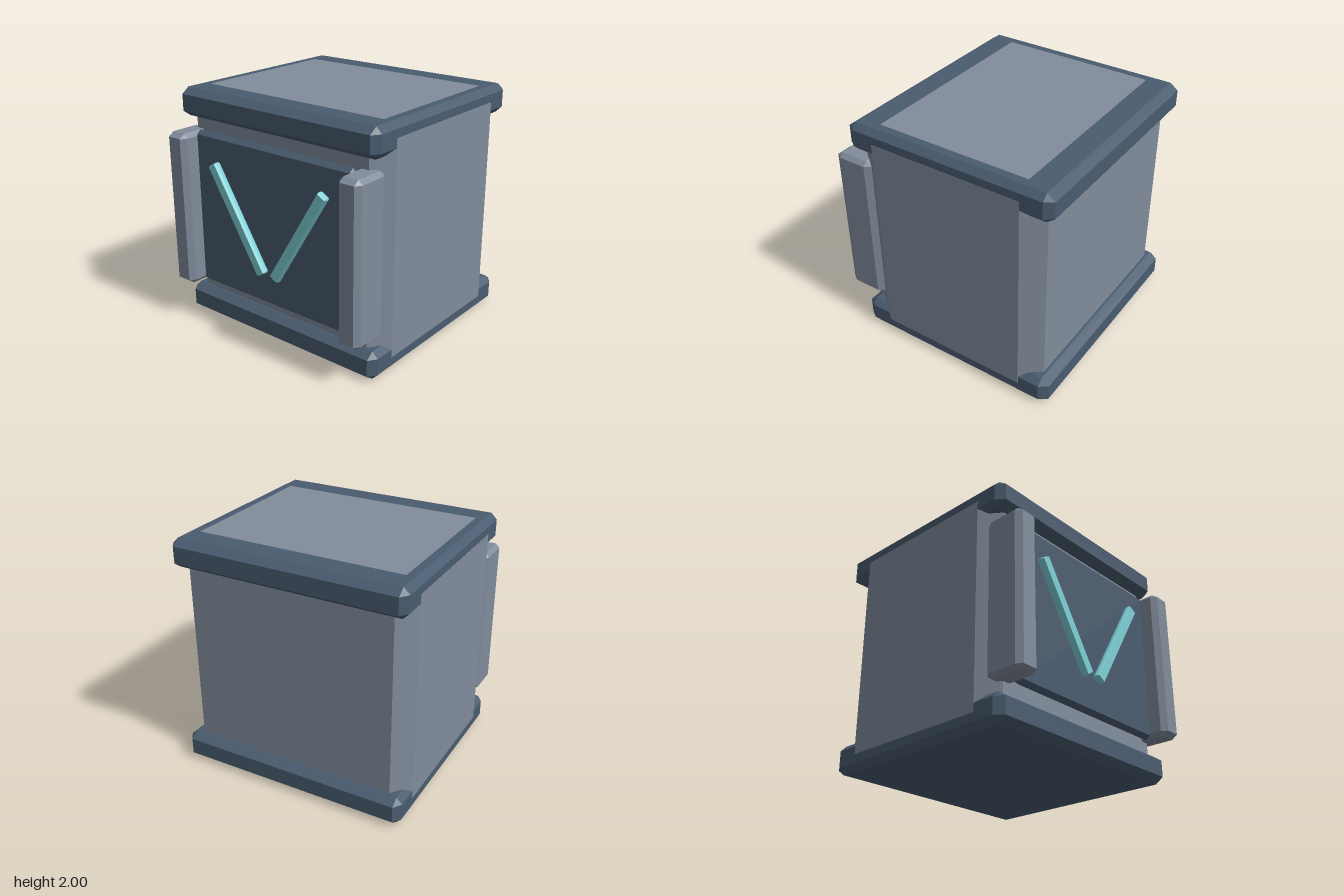
import * as THREE from 'three';
import { ConvexGeometry } from 'three/addons/geometries/ConvexGeometry.js';

// Box with chamfered edges and corners; size and cut are [x, y, z]
function chamferBox(size, cut) {
  const h = size.map((s) => s / 2);
  const points = [];
  for (const sx of [-1, 1]) for (const sy of [-1, 1]) for (const sz of [-1, 1]) {
    const sign = [sx, sy, sz];
    for (let face = 0; face < 3; face++) {
      const p = h.map((v, i) => sign[i] * (i === face ? v : v - cut[i]));
      points.push(new THREE.Vector3(...p));
    }
  }
  return new ConvexGeometry(points);
}

export function createModel() {
  const group = new THREE.Group();
  const material = (name, color) => {
    const m = new THREE.MeshStandardMaterial({ color, flatShading: true });
    m.name = name;
    return m;
  };
  const grey = material('lightGrey', 0x818c9c);
  const slate = material('slateBlue', 0x4a5c70);
  const teal = material('teal', 0x7dd0d6);

  // Adds a chamfered block spanning min to max
  const block = (name, mat, min, max, cut) => {
    const size = max.map((v, i) => v - min[i]);
    const mesh = new THREE.Mesh(chamferBox(size, cut), mat);
    mesh.position.set(...max.map((v, i) => (v + min[i]) / 2));
    mesh.name = name;
    group.add(mesh);
    return mesh;
  };

  // Main body, a hair proud of the slabs on its sides and top
  block('body', grey, [-1.001, 0.002, -0.91], [1.001, 2.001, 0.745], [0.12, 0.12, 0.168]);

  // Base and lid slabs
  block('baseSlab', slate, [-1, 0, -1], [1, 0.24, 0.83], [0.05, 0.05, 0.07]);
  block('lidSlab', slate, [-1, 1.76, -1], [1, 2, 0.83], [0.05, 0.05, 0.07]);

  // Front panel
  block('frontPanel', slate, [-0.81, 0.333, 0.76], [0.81, 1.677, 0.842], [0.025, 0.032, 0.038]);

  for (const side of [-1, 1]) {
    const label = side > 0 ? 'left' : 'right';

    // Pillars flanking the panel
    const pillar = block(label + 'Pillar', grey, [0.785, 0.342, 0.655], [0.983, 1.665, 1], [0.035, 0.035, 0.05]);
    pillar.position.x *= side;

    // Slanted bars on the panel
    const bar = block(label + 'Bar', teal, [-0.046, -0.484, 0.842], [0.046, 0.484, 0.904], [0.01, 0.01, 0.02]);
    bar.position.x = side * 0.32;
    bar.position.y = 1.03;
    bar.rotation.z = -side * 0.553;
  }
  return group;
}
